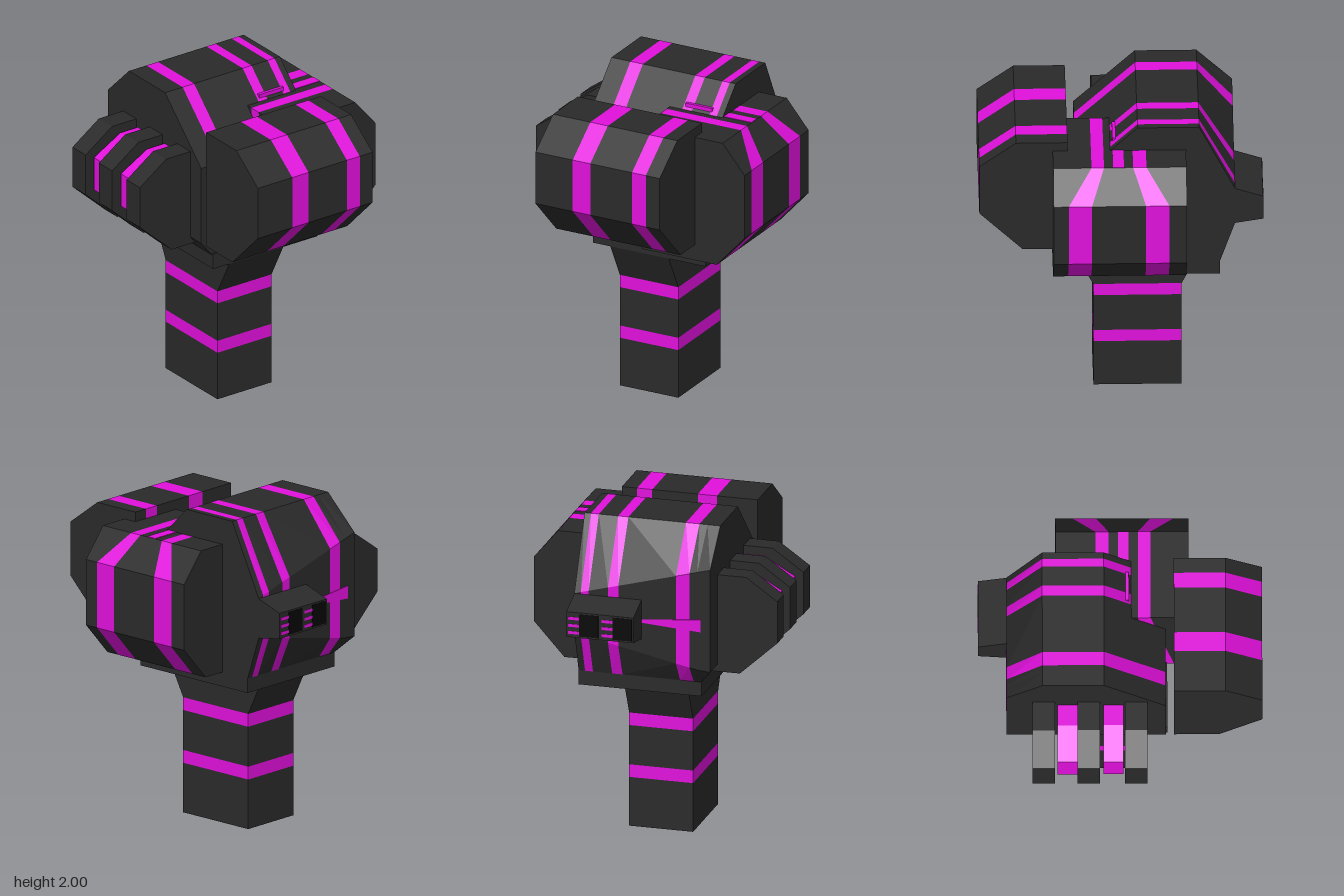
import * as THREE from 'three';
import { ConvexGeometry } from 'three/addons/geometries/ConvexGeometry.js';

const dark = new THREE.MeshStandardMaterial({ color: 0x2a2a2a, flatShading: true });
const black = new THREE.MeshStandardMaterial({ color: 0x060606, flatShading: true });
const magenta = new THREE.MeshStandardMaterial({ color: 0xe010dc, flatShading: true });

export function createModel() {
  const model = new THREE.Group();

  const add = (name, geometry, material) => {
    const mesh = new THREE.Mesh(geometry, material);
    mesh.name = name;
    model.add(mesh);
  };
  // Box given by its limits on each axis
  const box = (name, x0, x1, y0, y1, z0, z1, material = dark) => {
    const g = new THREE.BoxGeometry(x1 - x0, y1 - y0, z1 - z0);
    g.translate((x0 + x1) / 2, (y0 + y1) / 2, (z0 + z1) / 2);
    add(name, g, material);
  };
  // Convex solid spanned by two cross-sections
  const loft = (name, a, b, material = dark) => {
    const points = [...a, ...b].map((p) => new THREE.Vector3(...p));
    add(name, new ConvexGeometry(points), material);
  };
  // Solid cut into slices, alternating dark and magenta
  const banded = (name, cuts, section) => {
    for (let i = 0; i < cuts.length - 1; i++) {
      const stripe = i % 2 === 1;
      loft(name + (stripe ? 'Stripe' : ''), section(cuts[i]), section(cuts[i + 1]), stripe ? magenta : dark);
    }
  };

  // Handle with two bands and a flared neck
  const handle = (y, x0, x1, z0, z1) => [[x0, y, z0], [x1, y, z0], [x1, y, z1], [x0, y, z1]];
  banded('handle', [0, 0.31, 0.39, 0.64, 0.72], (y) => handle(y, -0.21, 0.19, -0.37, 0.16));
  loft('neck', handle(0.72, -0.21, 0.19, -0.37, 0.16), handle(0.95, -0.21, 0.19, -0.48, 0.28));
  box('basePlate', -0.33, 0.44, 0.95, 1.05, -0.595, 0.28);

  // Main body: the rear face widens towards the right side
  const body = (x) => {
    const t = (x + 0.41) / 0.85;
    const upper = 1.79 - 0.23 * t;
    const lower = 1.13 + 0.18 * t;
    return [[0.27, 1.04], [0.27, 1.64], [-0.1, 2], [-0.47, 2], [-0.685, upper], [-0.685, lower], [-0.595, 1.04]]
      .map(([z, y]) => [x, y, z]);
  };
  const bodyEnd = [[0.27, 1.14], [0.27, 1.64], [-0.1, 2], [-0.47, 2], [-0.685, 1.79], [-0.685, 1.14]]
    .map(([z, y]) => [-0.41, y, z]);
  loft('bodyEnd', bodyEnd, body(-0.33));
  banded('body', [-0.33, -0.28, -0.195, 0.165, 0.23, 0.35, 0.4, 0.44], body);

  // Tapered accent across the rear face
  const accent = (z) => [[0.02, 1.415, z], [0.02, 1.435, z], [-0.35, 1.47, z], [-0.35, 1.39, z]];
  loft('rearAccent', accent(-0.68), accent(-0.689), magenta);

  // Front block
  const frontProfile = [[0.32, 1.9], [0.63, 1.9], [0.85, 1.735], [0.85, 1.4], [0.59, 1.14], [0.32, 1.14]];
  banded('frontBlock', [-0.41, -0.155, -0.035, 0.25, 0.345, 0.44],
    (x) => frontProfile.map(([z, y]) => [x, y, z]));

  // Side block: stripes spread from the top to the outer face
  const sideProfile = [[0.08, 1.84], [0.63, 1.84], [0.78, 1.66], [0.78, 1.25], [0.59, 1.04], [0.08, 1.04]];
  const sideCuts = [[-0.39, -0.39], [-0.15, -0.285], [-0.07, -0.145], [0.105, 0.18], [0.18, 0.32], [0.41, 0.41]];
  banded('sideBlock', sideCuts,
    ([top, outer]) => sideProfile.map(([x, y]) => [x, y, y > 1.8 ? top : outer]));
  box('sideTopStripe', 0.42, 0.63, 1.83, 1.843, -0.015, 0.05, magenta);
  box('topTab', 0.18, 0.36, 1.83, 1.878, 0.03, 0.05, magenta);

  // Opposite side: three ribs with recessed magenta ribs between them
  const rib = (z, inset) => [
    [-0.36, 1.71 - inset], [-0.59 + inset, 1.71 - inset], [-0.785 + inset, 1.575 - inset * 0.5],
    [-0.785 + inset, 1.31 + inset * 0.5], [-0.55 + inset, 1.095 + inset], [-0.36, 1.095 + inset],
  ].map(([x, y]) => [x, y, z]);
  for (const [z0, z1] of [[-0.53, -0.395], [-0.26, -0.125], [0.025, 0.16]]) {
    loft('rib', rib(z0, 0), rib(z1, 0));
  }
  for (const [z0, z1] of [[-0.38, -0.255], [-0.105, 0.015]]) {
    loft('innerRib', rib(z0, 0.05), rib(z1, 0.05), magenta);
  }

  // Rear vent with dark openings and bars
  const vent = (x) => [[-0.68, 1.56], [-0.855, 1.5], [-0.855, 1.34], [-0.68, 1.31]].map(([z, y]) => [x, y, z]);
  loft('rearVent', vent(0.02), vent(0.44));
  for (const x of [0.03, 0.24]) {
    box('ventOpening', x, x + 0.12, 1.35, 1.49, -0.857, -0.85, black);
    for (const y of [1.37, 1.415, 1.46]) {
      box('ventBar', x + 0.12, x + 0.19, y - 0.009, y + 0.009, -0.857, -0.85, magenta);
    }
  }
  return model;
}
